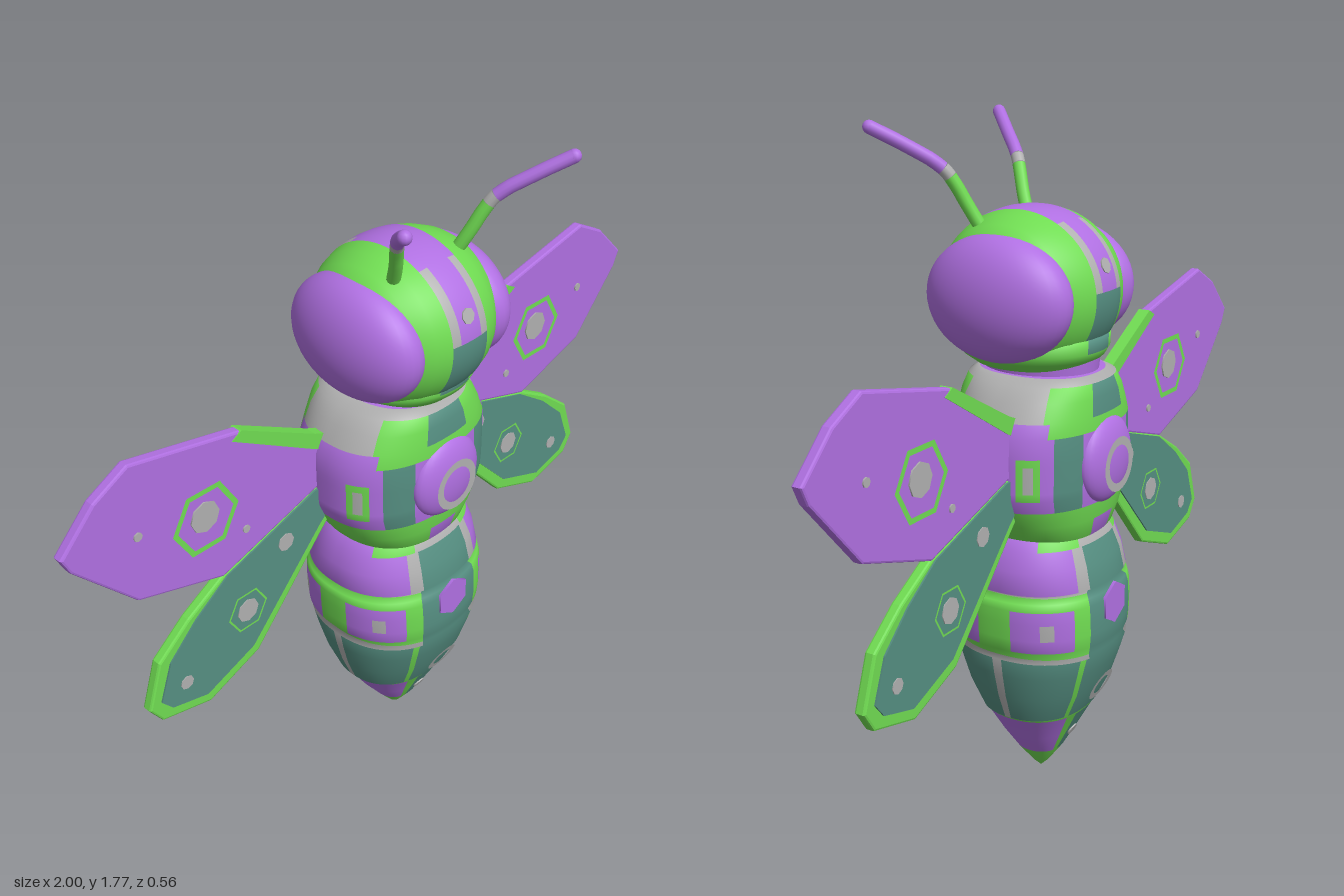
import * as THREE from 'three';

const NAMES = ['purple', 'green', 'teal', 'grey'];
const MATS = [0xb070e2, 0x70dc52, 0x558e81, 0xb0b0b0].map((color, i) => {
  const m = new THREE.MeshStandardMaterial({ color });
  m.name = NAMES[i];
  return m;
});
const [P, G, T, S] = [0, 1, 2, 3];

function add(parent, name, geometry, mat, x = 0, y = 0, z = 0) {
  const mesh = new THREE.Mesh(geometry, Array.isArray(mat) ? mat : MATS[mat]);
  mesh.name = name;
  mesh.position.set(x, y, z);
  parent.add(mesh);
  return mesh;
}

// Angle in degrees: 0 at front and back, 90 at the sides
const foldSides = a => THREE.MathUtils.radToDeg(Math.acos(Math.abs(Math.cos(a))));
// Angle in degrees from the crown (0) to the chin (180)
const foldCrown = a => THREE.MathUtils.radToDeg(Math.acos(-Math.sin(a)));

// Rows: [height, radius x, radius z, sectors up to the next row]; sectors: [[angle limit, colour], ...]
function loft(rows, power, fold) {
  const n = 144, pos = [], faces = [[], [], [], []];
  const bend = v => Math.sign(v) * Math.abs(v) ** power;
  rows.forEach(([y, rx, rz, sectors], i) => {
    for (let j = 0; j < n; j++) {
      const a = j / n * Math.PI * 2;
      pos.push(rx * bend(Math.sin(a)), y, rz * bend(Math.cos(a)));
      if (i === rows.length - 1) continue;
      const t = fold((j + 0.5) / n * Math.PI * 2);
      const color = sectors.find(s => t <= s[0] + 0.01)[1];
      const b = i * n + j, c = i * n + (j + 1) % n;
      faces[color].push(b, c, c + n, b, c + n, b + n);
    }
  });
  const g = new THREE.BufferGeometry();
  g.setAttribute('position', new THREE.Float32BufferAttribute(pos, 3));
  g.setIndex(faces.flat());
  let start = 0;
  faces.forEach((f, i) => { g.addGroup(start, f.length, i); start += f.length; });
  g.computeVertexNormals();
  return g;
}

// Thin disc facing z
function disc(parent, name, r, mat, x, y, z, sides = 24, tilt = 0) {
  const g = new THREE.CylinderGeometry(r, r, 0.008, sides).rotateX(Math.PI / 2).rotateX(tilt);
  return add(parent, name, g, mat, x, y, z);
}

const AXIS = -0.045, WING_Z = -0.085;

// Thin ring facing z
function ring(parent, name, r, width, mat, x, y, z, sides = 6, tilt = 0) {
  const g = new THREE.RingGeometry(r - width, r, sides);
  if (z < WING_Z) g.rotateY(Math.PI);
  g.rotateX(tilt);
  return add(parent, name, g, mat, x, y, z);
}

function plate(points, depth, bevel) {
  const g = new THREE.ExtrudeGeometry(new THREE.Shape(points.map(p => new THREE.Vector2(p[0], p[1]))), {
    depth: depth - 2 * bevel, bevelEnabled: bevel > 0, bevelThickness: bevel,
    bevelSize: bevel, bevelOffset: -bevel, bevelSegments: 2,
  });
  return g.translate(0, 0, -depth / 2 + bevel);
}

function buildSide(side) {
  const group = new THREE.Group();
  group.name = side > 0 ? 'leftSide' : 'rightSide';
  const mx = pts => {
    const q = pts.map(([x, y]) => [x * side, y]);
    return side > 0 ? q : q.reverse();
  };

  // Wings
  const upper = [[0.18, 1.06], [0.25, 1.09], [0.48, 1.215], [0.8, 1.283], [0.9, 1.23], [1, 1.13],
    [0.98, 1.085], [0.82, 0.905], [0.57, 0.825], [0.25, 0.925], [0.18, 0.93]];
  const lower = [[0.18, 0.93], [0.26, 0.925], [0.57, 0.83], [0.69, 0.76], [0.79, 0.68], [0.835, 0.55],
    [0.8, 0.495], [0.65, 0.455], [0.48, 0.52], [0.24, 0.78], [0.18, 0.84]];
  const inset = [[0.18, 0.929], [0.26, 0.922], [0.56, 0.826], [0.67, 0.75], [0.76, 0.665], [0.8, 0.56],
    [0.77, 0.522], [0.66, 0.49], [0.5, 0.55], [0.25, 0.81], [0.18, 0.87]];
  const edge = [[0.18, 1.062], [0.25, 1.092], [0.48, 1.217], [0.51, 1.2], [0.25, 1.045], [0.18, 1.015]];
  add(group, 'upperWing', plate(mx(upper), 0.03, 0.006), P, 0, 0, WING_Z);
  add(group, 'lowerWing', plate(mx(lower), 0.03, 0.006), G, 0, 0, WING_Z);
  add(group, 'upperWingEdge', plate(mx(edge), 0.034, 0), G, 0, 0, WING_Z);
  for (const f of [1, -1]) {
    const z = WING_Z + f * 0.015, zr = WING_Z + f * 0.021;
    add(group, 'lowerWingPanel', plate(mx(inset), 0.009, 0), T, 0, 0, z);
    ring(group, 'upperWingRing', 0.1, 0.016, G, side * 0.61, 1.03, zr);
    disc(group, 'upperWingSpot', 0.043, S, side * 0.61, 1.035, z, 8);
    disc(group, 'upperWingDot', 0.012, S, side * 0.8, 1.085, z, 8);
    disc(group, 'upperWingInnerDot', 0.011, S, side * 0.49, 0.93, z, 8);
    ring(group, 'lowerWingRing', 0.064, 0.006, G, side * 0.51, 0.68, zr);
    disc(group, 'lowerWingSpot', 0.034, S, side * 0.51, 0.68, z + f * 0.003, 8);
    disc(group, 'lowerWingDot', 0.026, S, side * 0.37, 0.82, z + f * 0.003, 8);
    disc(group, 'lowerWingTipDot', 0.02, S, side * 0.72, 0.575, z + f * 0.003, 8);
  }

  // Compound eye
  const eye = add(group, 'eye', new THREE.SphereGeometry(1, 40, 28), P, side * 0.152, 1.352, -0.012);
  eye.scale.set(0.103, 0.16, 0.204);

  // Antenna: green stalk, grey joint, purple tip
  const path = new THREE.CatmullRomCurve3([[0.1, 1.48, 0.05], [0.125, 1.56, 0.09], [0.165, 1.655, 0.135],
    [0.22, 1.71, 0.2], [0.282, 1.758, 0.268]].map(p => new THREE.Vector3(p[0] * side, p[1], p[2])));
  [[0, 0.45, G], [0.45, 0.51, S], [0.51, 1, P]].forEach(([a, b, mat]) => {
    const pts = Array.from({ length: 7 }, (_, i) => path.getPoint(a + (b - a) * i / 6));
    add(group, 'antenna', new THREE.TubeGeometry(new THREE.CatmullRomCurve3(pts), 10, 0.017, 12), mat);
  });
  add(group, 'antennaTip', new THREE.SphereGeometry(0.017, 12, 8), P, side * 0.282, 1.758, 0.268);
  return group;
}

export function createModel() {
  const model = new THREE.Group();
  model.name = 'bee';
  const all = c => [[90, c]];

  // Abdomen: four banded segments narrowing to a point
  const tip = [[12.5, T], [25, G], [90, P]], belly = [[25, T], [30, G], [87.5, T], [90, S]];
  const waist = [[20, T], [30, S], [90, P]], middle = [[22.5, T], [35, G], [80, P], [90, G]];
  const spotted = [[22.5, T], [35, G], [50, P], [60, S], [80, P], [90, G]];
  const band = [[22.5, T], [90, G]], seam = [[22.5, T], [90, S]];
  add(model, 'abdomen', loft([
    [0, 0.002, 0.002, all(G)], [0.02, 0.022, 0.022, all(G)], [0.075, 0.065, 0.062, tip],
    [0.14, 0.112, 0.098, tip], [0.215, 0.158, 0.138, all(G)], [0.225, 0.17, 0.145, belly],
    [0.3, 0.198, 0.182, belly], [0.37, 0.215, 0.205, belly], [0.42, 0.224, 0.22, seam],
    [0.43, 0.215, 0.215, band], [0.455, 0.233, 0.223, middle], [0.49, 0.236, 0.226, spotted],
    [0.535, 0.238, 0.225, middle], [0.57, 0.238, 0.222, band], [0.59, 0.234, 0.216, band],
    [0.6, 0.212, 0.205, seam], [0.612, 0.23, 0.212, waist], [0.67, 0.222, 0.198, waist],
    [0.72, 0.205, 0.178, [[22.5, S], [60, G], [90, P]]], [0.745, 0.185, 0.165, all(G)], [0.78, 0.15, 0.14],
  ], 0.88, foldSides), MATS, 0, 0, AXIS);

  // Thorax: teal panels, purple flanks with framed windows
  const top = [[15, T], [55, G], [90, S]], mid = [[22.5, P], [45, T], [90, P]], low = [[10, P], [90, G]];
  const frameEnd = [[22.5, P], [45, T], [55, P], [72.5, G], [90, P]];
  const frame = [[22.5, P], [45, T], [55, P], [60, G], [67.5, S], [72.5, G], [90, P]];
  add(model, 'thorax', loft([
    [0.71, 0.15, 0.15, low], [0.745, 0.185, 0.175, low], [0.79, 0.215, 0.187, all(G)],
    [0.835, 0.236, 0.194, mid], [0.87, 0.25, 0.198, frameEnd], [0.89, 0.252, 0.199, frame],
    [0.96, 0.252, 0.2, frameEnd], [0.98, 0.252, 0.2, mid], [1.03, 0.25, 0.199, [[50, G], [90, P]]],
    [1.065, 0.232, 0.197, top], [1.11, 0.207, 0.192, top], [1.145, 0.175, 0.183, all(S)],
    [1.16, 0.14, 0.16, all(P)], [1.165, 0.002, 0.002],
  ], 0.86, foldSides), MATS, 0, 0, AXIS);

  // Neck
  const neck = new THREE.CylinderGeometry(0.135, 0.125, 0.12, 36);
  add(model, 'neck', neck, P, 0, 1.17, -0.04).scale.z = 1.2;

  // Jaw: broad green underside of the head
  add(model, 'jaw', loft([
    [1.155, 0.1, 0.12, all(G)], [1.17, 0.135, 0.155, all(G)], [1.195, 0.172, 0.182, all(G)],
    [1.215, 0.185, 0.193, [[15, T], [90, G]]], [1.25, 0.185, 0.195, [[15, T], [90, G]]], [1.3, 0.1, 0.12],
  ], 0.95, foldSides), MATS, 0, 0, -0.02);

  // Head: striped from side to side
  const half = [[0, 0.212, 0.23], [0.035, 0.21, 0.228], [0.06, 0.206, 0.224], [0.1, 0.195, 0.21],
    [0.14, 0.178, 0.187], [0.18, 0.148, 0.15], [0.205, 0.095, 0.095], [0.215, 0.002, 0.002]];
  const stripe = [[85, P], [140, T], [180, G]], crown = [[30, P], [85, S], [140, T], [180, G]];
  const rows = [...half.slice(1).reverse().map(([x, a, b]) => [-x, a, b]), ...half].map(([x, a, b]) =>
    [x, a, b, x > -0.04 && x < 0.03 ? stripe : x > -0.065 && x < 0.05 ? crown : [[180, G]]]);
  add(model, 'head', loft(rows, 1, foldCrown).rotateZ(-Math.PI / 2), MATS, 0, 1.352, -0.01);

  // Round pads and spots on front and back
  for (const f of [1, -1]) {
    const pad = add(model, 'thoraxPad', new THREE.SphereGeometry(1, 32, 20), P, 0, 0.94, AXIS + f * 0.185);
    pad.scale.set(0.115, 0.115, 0.045);
    ring(model, 'thoraxPadRing', 0.072, 0.022, S, 0, 0.93, AXIS + f * 0.2285, 24);
    disc(model, 'abdomenSpot', 0.058, P, 0, 0.55, AXIS + f * 0.222, 6);
    ring(model, 'bellyRing', 0.05, 0.02, S, 0, 0.3, AXIS + f * 0.187, 24, f * 0.42);
    disc(model, 'tipSpot', 0.018, S, 0, 0.14, AXIS + f * 0.098, 12, f * 0.5);
    disc(model, 'headSpot', 0.02, S, 0, 1.43, -0.01 + f * 0.212, 8, f * -0.35);
  }

  model.add(buildSide(1), buildSide(-1));
  return model;
}
